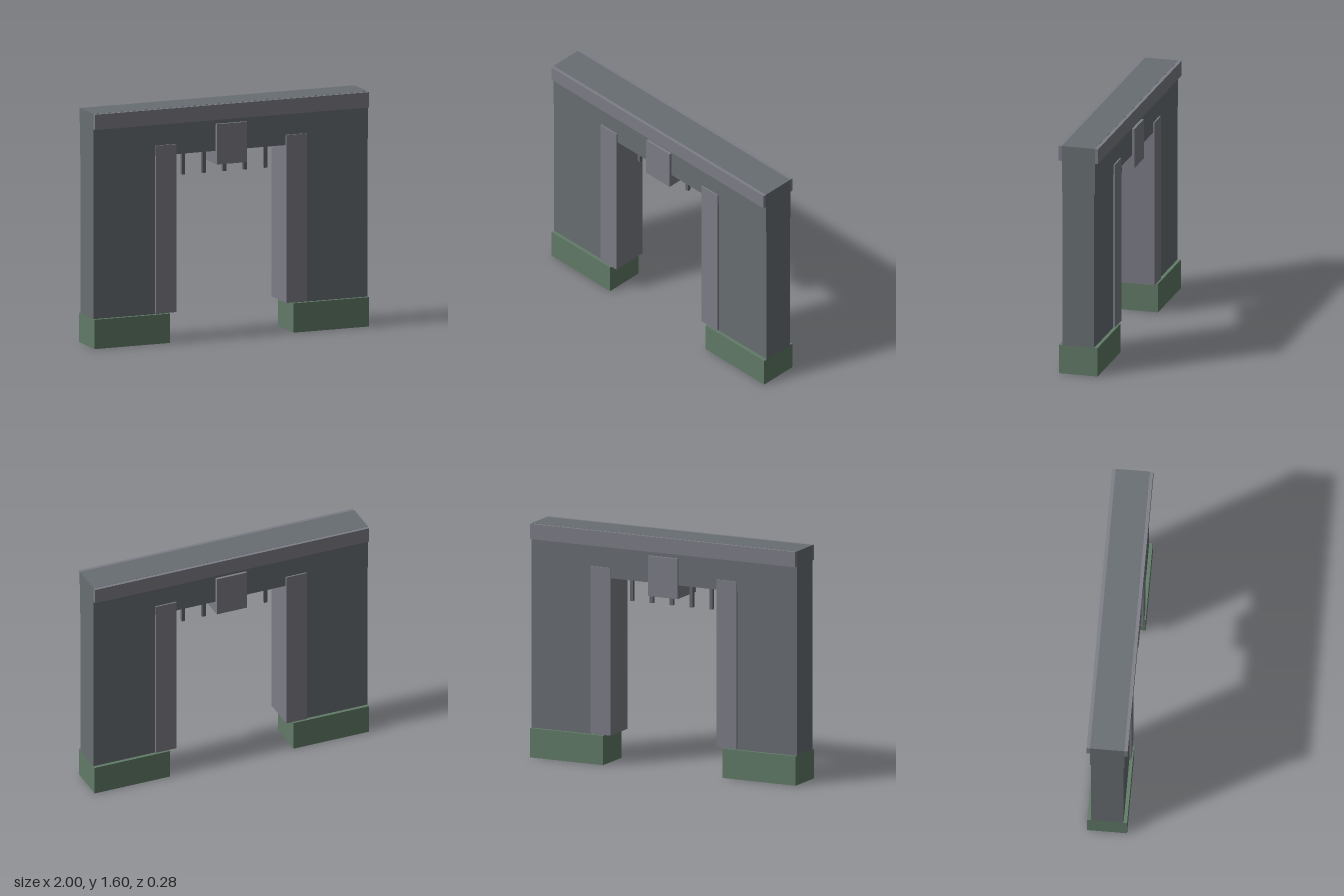
import * as THREE from 'three';

const paint = (color) => new THREE.MeshStandardMaterial({ color });

export function createModel() {
  const model = new THREE.Group();
  const wall = paint(0x686e72);
  const trim = paint(0x7c7d86);
  const moss = paint(0x617a67);
  const iron = paint(0x64666c);

  // Box given by its x range, y range and depth, centred on z = 0
  function block(name, x0, x1, y0, y1, depth, material) {
    const mesh = new THREE.Mesh(new THREE.BoxGeometry(x1 - x0, y1 - y0, depth), material);
    mesh.position.set((x0 + x1) / 2, (y0 + y1) / 2, 0);
    mesh.name = name;
    model.add(mesh);
  }

  // Mirrored supports: footing, pier and the jamb lining the opening
  for (const [side, s] of [['left', 1], ['right', -1]]) {
    const mirrored = (name, inner, outer, ...rest) =>
      block(side + name, Math.min(s * inner, s * outer), Math.max(s * inner, s * outer), ...rest);
    mirrored('Footing', 0.45, 1, 0, 0.2, 0.268, moss);
    mirrored('Pier', 0.45, 1, 0.2, 1.28, 0.22, wall);
    mirrored('Jamb', 0.4, 0.55, 0.205, 1.35, 0.25, trim);
  }

  // Lintel over the opening, with the coping wrapped around its top
  block('lintel', -1, 1, 1.28, 1.6, 0.23, wall);
  block('coping', -0.999, 0.999, 1.495, 1.599, 0.276, trim);
  block('keystone', -0.11, 0.11, 1.19, 1.465, 0.268, trim);

  // Portcullis bars hanging below the lintel
  for (let i = -2; i <= 2; i++) {
    block('portcullisBar', i * 0.15 - 0.012, i * 0.15 + 0.012, 1.115, 1.3, 0.024, iron);
  }
  return model;
}
